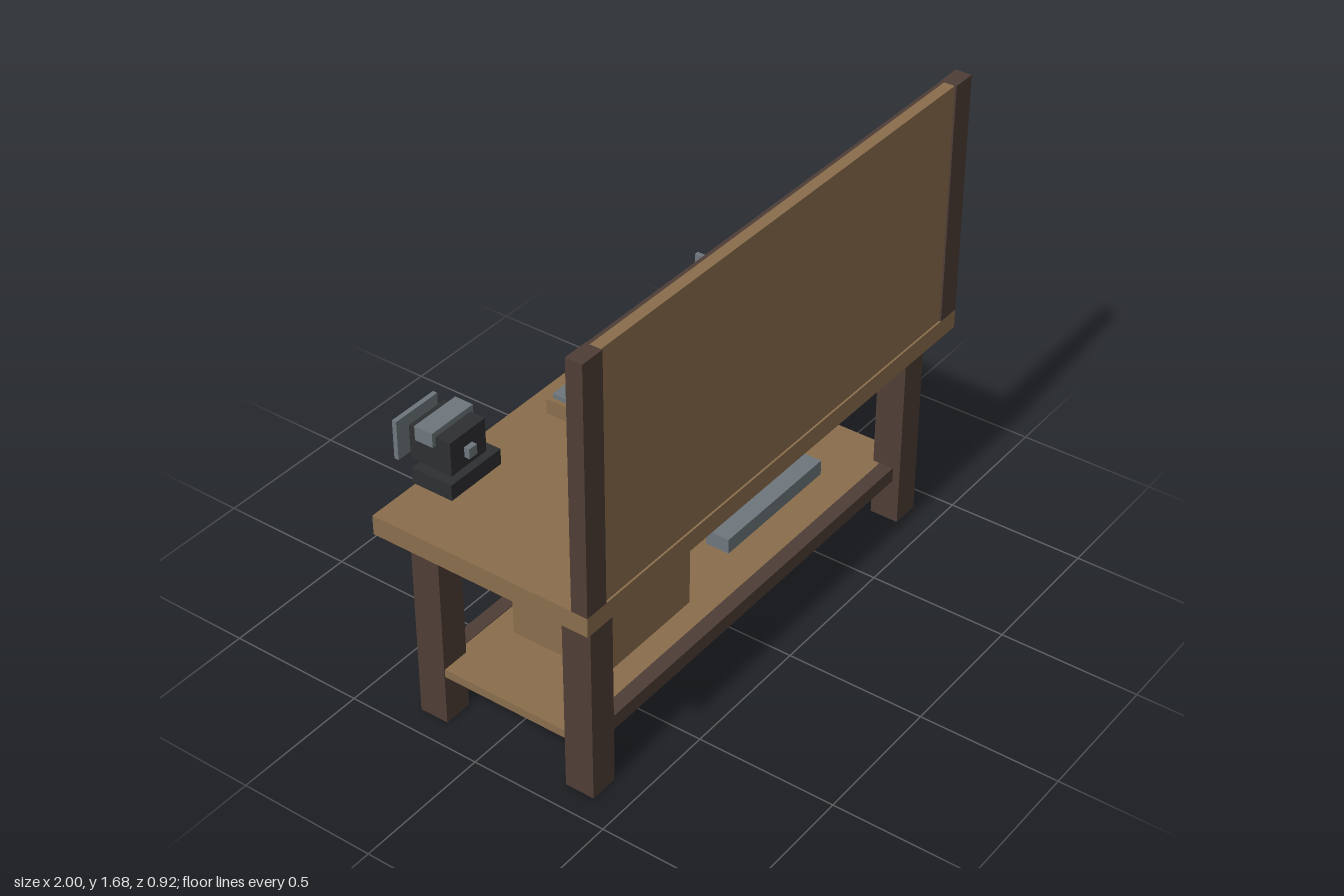
import * as THREE from 'three';

const mat = (name, color) => {
  const m = new THREE.MeshStandardMaterial({ color });
  m.name = name;
  return m;
};

export function createModel() {
  const wood = mat('wood', 0x8a6e4d);
  const darkWood = mat('dark wood', 0x4f3e37);
  const steel = mat('steel', 0x6e777d);
  const iron = mat('black iron', 0x2e2f31);
  const red = mat('red paint', 0x963937);
  const yellow = mat('yellow paint', 0xbd9237);

  const model = new THREE.Group();
  model.name = 'workbench';
  const group = (name) => {
    const g = new THREE.Group();
    g.name = name;
    model.add(g);
    return g;
  };
  // Box given by its extents along each axis
  const box = (parent, name, material, [x0, x1], [y0, y1], [z0, z1]) => {
    const mesh = new THREE.Mesh(new THREE.BoxGeometry(x1 - x0, y1 - y0, z1 - z0), material);
    mesh.position.set((x0 + x1) / 2, (y0 + y1) / 2, (z0 + z1) / 2);
    mesh.name = name;
    parent.add(mesh);
  };

  // Table: top, four legs, lower rails and shelf
  const table = group('table');
  box(table, 'tabletop', wood, [-1, 1], [0.73, 0.8], [-0.36, 0.457]);
  for (const [z0, z1] of [[-0.294, -0.187], [0.289, 0.396]]) {
    for (const s of [-1, 1]) {
      const x = 0.8575 * s;
      box(table, 'leg', darkWood, [x - 0.0535, x + 0.0535], [0, 0.73], [z0, z1]);
    }
    box(table, 'shelfRail', darkWood, [-0.805, 0.805], [0.165, 0.22], [z0 + 0.027, z1 - 0.027]);
  }
  box(table, 'shelf', wood, [-0.908, 0.908], [0.187, 0.217], [-0.215, 0.317]);

  // Tool board with its frame
  const board = group('toolBoard');
  box(board, 'panel', wood, [-0.91, 0.91], [0.8, 1.683], [0.411, 0.45]);
  for (const s of [-1, 1]) {
    const x = 0.955 * s;
    box(board, 'post', darkWood, [x - 0.045, x + 0.045], [0.8, 1.685], [0.398, 0.457]);
  }
  for (const [y0, y1] of [[0.8, 0.855], [1.63, 1.683]]) {
    box(board, 'frameRail', darkWood, [-0.91, 0.91], [y0, y1], [0.398, 0.411]);
  }

  // Hanging tools: each piece is [name, material, x range, y range]
  const tools = {
    hacksaw: [
      ['frameTop', iron, [0.433, 0.66], [1.39, 1.44]],
      ['frameSide', iron, [0.433, 0.468], [1.24, 1.39]],
      ['frameSide', iron, [0.622, 0.66], [1.24, 1.39]],
      ['blade', steel, [0.433, 0.66], [1.2, 1.24]],
      ['handle', wood, [0.65, 0.69], [1.17, 1.28]],
    ],
    shortWrench: [
      ['head', steel, [0.175, 0.255], [1.4, 1.45]],
      ['shaft', steel, [0.19, 0.24], [1.2, 1.4]],
    ],
    longWrench: [
      ['head', steel, [0, 0.075], [1.47, 1.53]],
      ['shaft', steel, [0.013, 0.062], [1.235, 1.47]],
    ],
    chisel: [
      ['handle', steel, [-0.067, -0.025], [1.32, 1.45]],
      ['tip', steel, [-0.056, -0.036], [1.25, 1.32]],
    ],
    screwdriver: [
      ['handle', red, [-0.158, -0.115], [1.345, 1.465]],
      ['tip', red, [-0.147, -0.126], [1.245, 1.345]],
    ],
    handSaw: [
      ['handle', wood, [-0.405, -0.27], [1.46, 1.567]],
      ['blade', steel, [-0.387, -0.288], [1.095, 1.46]],
    ],
    hammer: [
      ['head', iron, [-0.692, -0.582], [1.485, 1.55]],
      ['handle', wood, [-0.655, -0.62], [1.145, 1.485]],
    ],
  };
  for (const [name, pieces] of Object.entries(tools)) {
    const g = group(name);
    for (const [part, m, x, y] of pieces) box(g, part, m, x, y, [0.389, 0.412]);
  }

  // Vise on the bench edge
  const vise = group('vise');
  box(vise, 'base', iron, [-0.802, -0.567], [0.8, 0.857], [-0.37, -0.214]);
  box(vise, 'body', iron, [-0.765, -0.6], [0.857, 0.98], [-0.405, -0.243]);
  box(vise, 'jaw', steel, [-0.78, -0.587], [0.948, 1], [-0.37, -0.3]);
  box(vise, 'screw', steel, [-0.702, -0.665], [0.893, 0.93], [-0.445, -0.223]);
  box(vise, 'outerPlate', steel, [-0.78, -0.587], [0.84, 0.983], [-0.46, -0.443]);

  // Parts tray
  const tray = group('partsTray');
  box(tray, 'tray', wood, [-0.273, 0.18], [0.8, 0.855], [-0.268, -0.043]);
  box(tray, 'steelSheet', steel, [-0.257, -0.045], [0.855, 0.873], [-0.254, -0.065]);
  box(tray, 'yellowSheet', yellow, [0, 0.165], [0.855, 0.873], [-0.254, -0.065]);

  // Small red canister with a spout
  const canister = group('canister');
  box(canister, 'body', red, [0.405, 0.525], [0.8, 0.927], [-0.208, -0.09]);
  box(canister, 'neck', yellow, [0.448, 0.487], [0.927, 0.967], [-0.168, -0.125]);
  box(canister, 'spout', steel, [0.437, 0.453], [0.963, 1.055], [-0.207, -0.136]);

  // Crate and steel bars on the shelf
  const crate = group('crate');
  box(crate, 'crateBody', wood, [-0.638, -0.187], [0.217, 0.475], [-0.13, 0.231]);
  box(crate, 'crateLid', wood, [-0.62, -0.203], [0.475, 0.493], [-0.115, 0.214]);
  const bars = group('steelBars');
  box(bars, 'bar', steel, [0.09, 0.632], [0.217, 0.274], [0.096, 0.187]);
  box(bars, 'bar', steel, [0.138, 0.68], [0.217, 0.274], [-0.06, 0.031]);

  return model;
}
